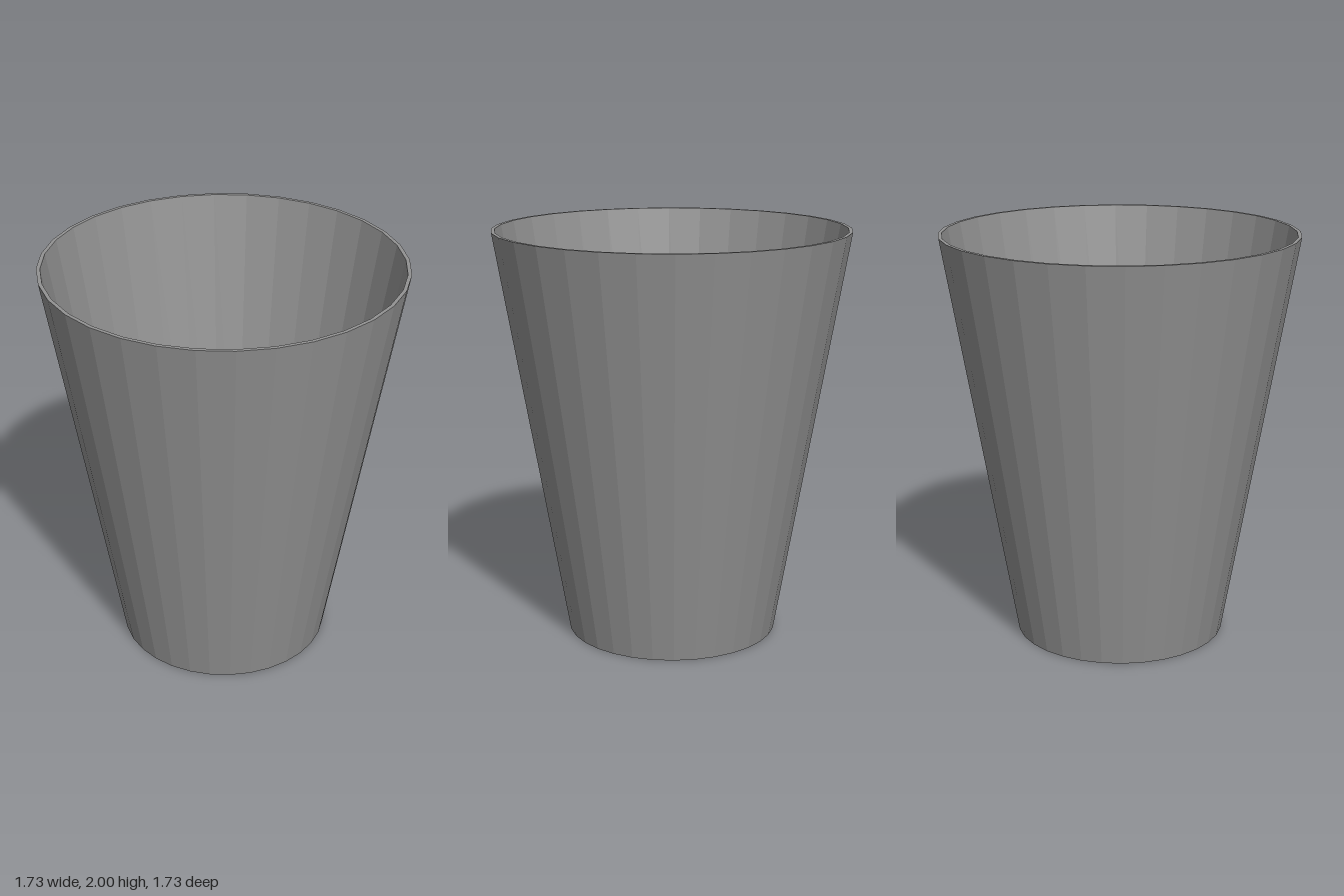
import * as THREE from 'three';

const SIDES = 32;
const material = new THREE.MeshStandardMaterial({ color: 0x939393, flatShading: true });

// Faceted surface of revolution from [radius, height] pairs
function turned(name, profile) {
  const points = profile.map(([r, y]) => new THREE.Vector2(r, y));
  const geometry = new THREE.LatheGeometry(points, SIDES).toNonIndexed();
  geometry.computeVertexNormals();
  const mesh = new THREE.Mesh(geometry, material);
  mesh.name = name;
  return mesh;
}

export function createModel() {
  const group = new THREE.Group();
  group.name = 'cup';

  const outerBottom = [0.517, 0];
  const outerTop = [0.863, 2];
  const innerTop = [0.845, 2];
  const innerBottom = [0.508, 0.03];

  // Profiles run up the outside, over the rim and down the inside
  group.add(
    turned('base', [[0, 0], outerBottom]),
    turned('outerWall', [outerBottom, outerTop]),
    turned('rim', [outerTop, innerTop]),
    turned('innerWall', [innerTop, innerBottom]),
    turned('floor', [innerBottom, [0, 0.03]])
  );
  return group;
}
